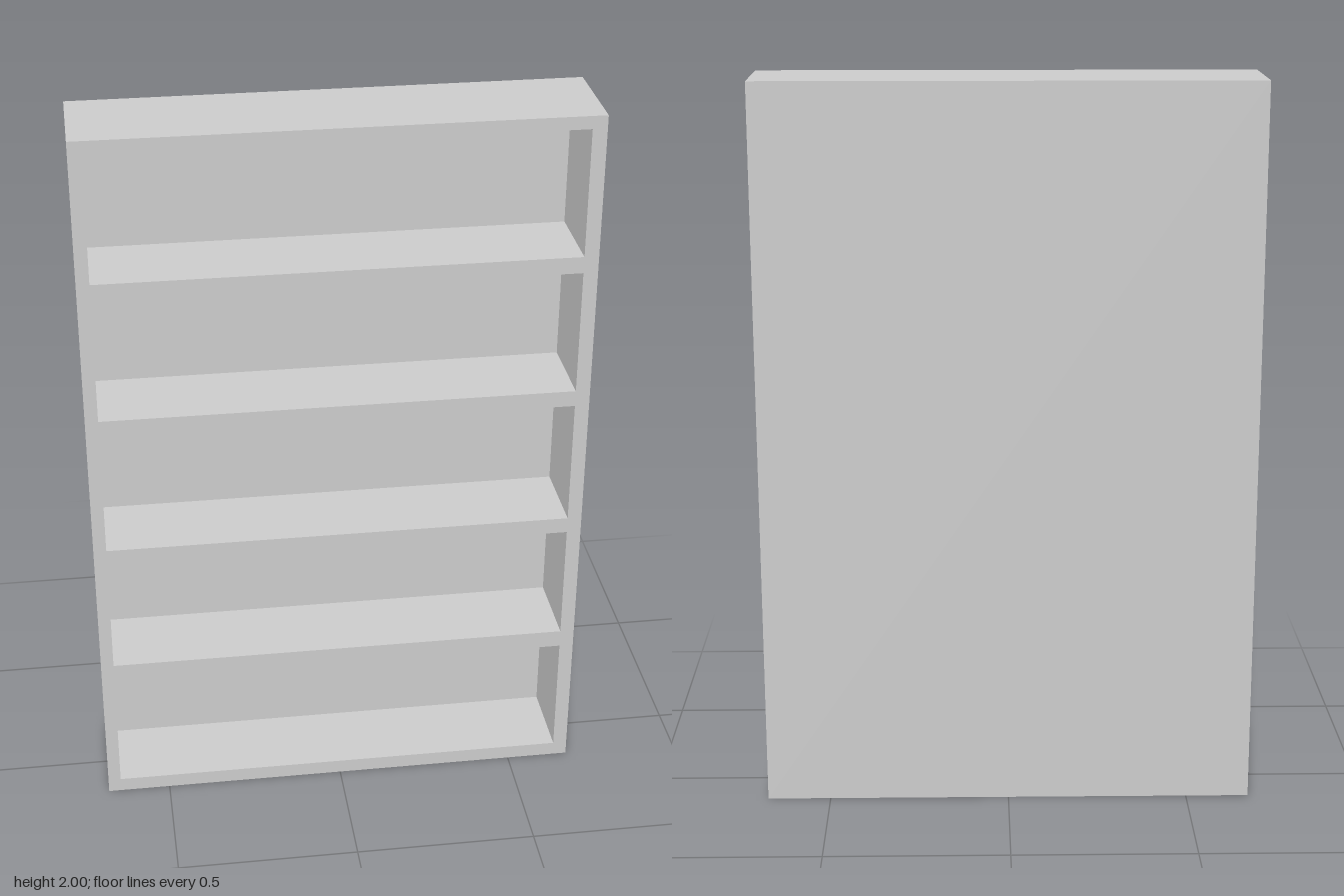
import * as THREE from 'three';

const WIDTH = 1.35, HEIGHT = 2, DEPTH = 0.28, BACK = 0.05;

// Bottom and top of each compartment, from the lowest up
const COMPARTMENTS = [[0.04, 0.39], [0.44, 0.775], [0.82, 1.175], [1.22, 1.568], [1.614, 1.965]];
const INNER_LEFT = 0.636, INNER_RIGHT = -0.64;

function rectangle(PathType, x0, y0, x1, y1) {
  const path = new PathType();
  path.moveTo(x0, y0);
  path.lineTo(x1, y0);
  path.lineTo(x1, y1);
  path.lineTo(x0, y1);
  path.closePath();
  return path;
}

export function createModel() {
  const model = new THREE.Group();
  model.name = 'bookcase';
  const material = new THREE.MeshStandardMaterial({ color: 0xcccccc });

  // Sides, top, bottom and shelves as one frame with open compartments
  const outline = rectangle(THREE.Shape, -WIDTH / 2, 0, WIDTH / 2, HEIGHT);
  for (const [low, high] of COMPARTMENTS) {
    outline.holes.push(rectangle(THREE.Path, INNER_RIGHT, low, INNER_LEFT, high));
  }
  const frame = new THREE.Mesh(
    new THREE.ExtrudeGeometry(outline, { depth: DEPTH - BACK, bevelEnabled: false }), material);
  frame.name = 'shelfFrame';
  frame.position.z = -DEPTH / 2 + BACK;
  model.add(frame);

  // Back panel closing the compartments
  const back = new THREE.Mesh(new THREE.BoxGeometry(WIDTH, HEIGHT, BACK), material);
  back.name = 'backPanel';
  back.position.set(0, HEIGHT / 2, (BACK - DEPTH) / 2);
  model.add(back);

  return model;
}
